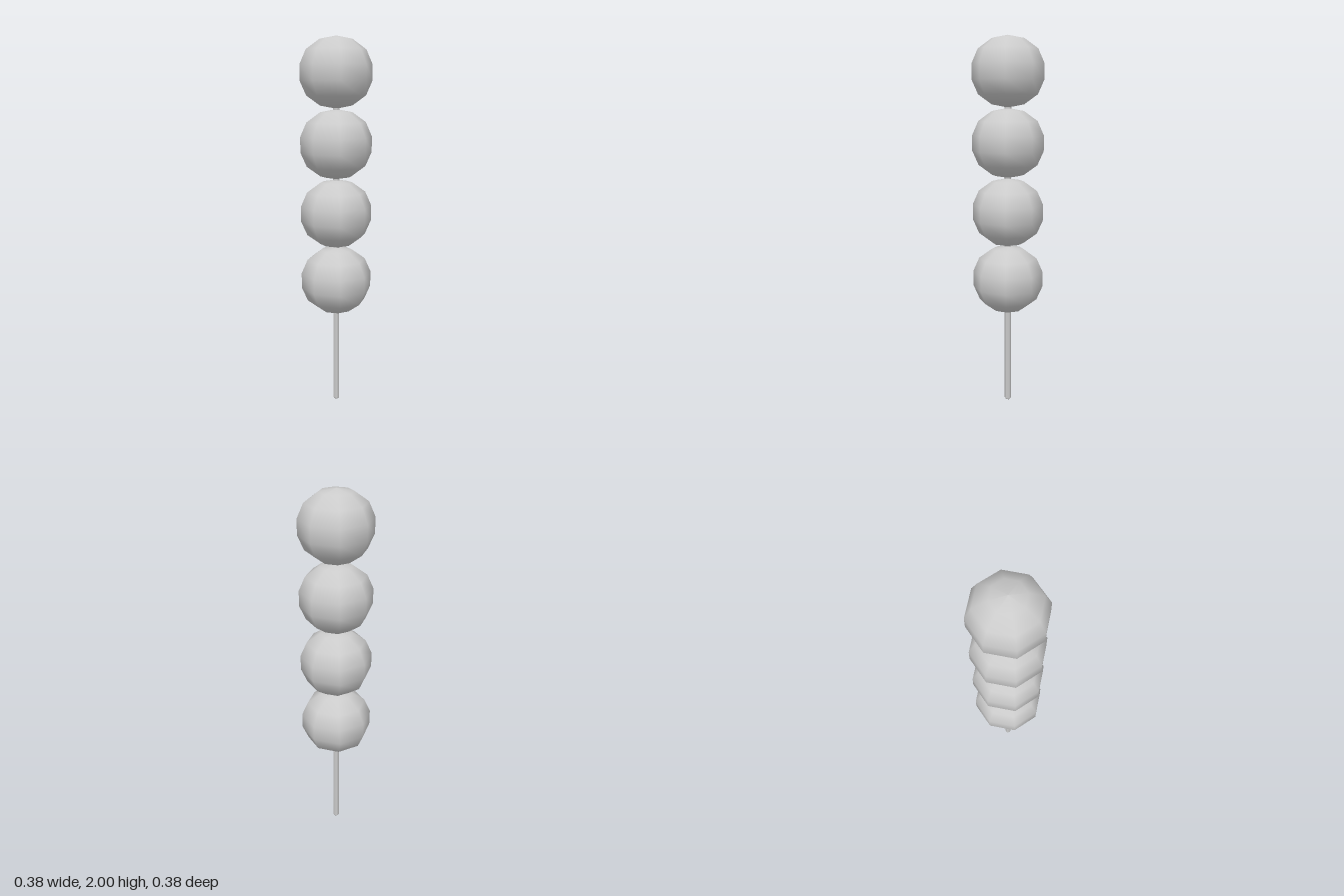
import * as THREE from 'three';

const material = new THREE.MeshStandardMaterial({ color: 0xcccccc });
const lathe = (points, sides) =>
  new THREE.LatheGeometry(points.map(([x, y]) => new THREE.Vector2(x, y)), sides);

export function createModel() {
  const group = new THREE.Group();
  group.name = 'skeweredDumplings';

  // Low-poly, slightly squashed dumpling: half profile mirrored about its middle
  const half = [[0.19, 0.041], [0.157, 0.116], [0.085, 0.168], [0, 0.184]];
  const profile = [...half.map(([x, y]) => [x, -y]).reverse(), ...half];
  const dumplingGeometry = lathe(profile, 8);

  // Four dumplings stacked along the stick
  for (let i = 0; i < 4; i++) {
    const dumpling = new THREE.Mesh(dumplingGeometry, material);
    dumpling.name = `dumpling${i + 1}`;
    dumpling.position.y = 0.706 + i * 0.37;
    group.add(dumpling);
  }

  // Six-sided stick with a small bevel at the foot, ending inside the top dumpling
  const stick = new THREE.Mesh(
    lathe([[0, 0], [0.012, 0], [0.018, 0.008], [0.018, 1.85], [0, 1.85]], 6), material);
  stick.name = 'stick';
  group.add(stick);

  return group;
}
